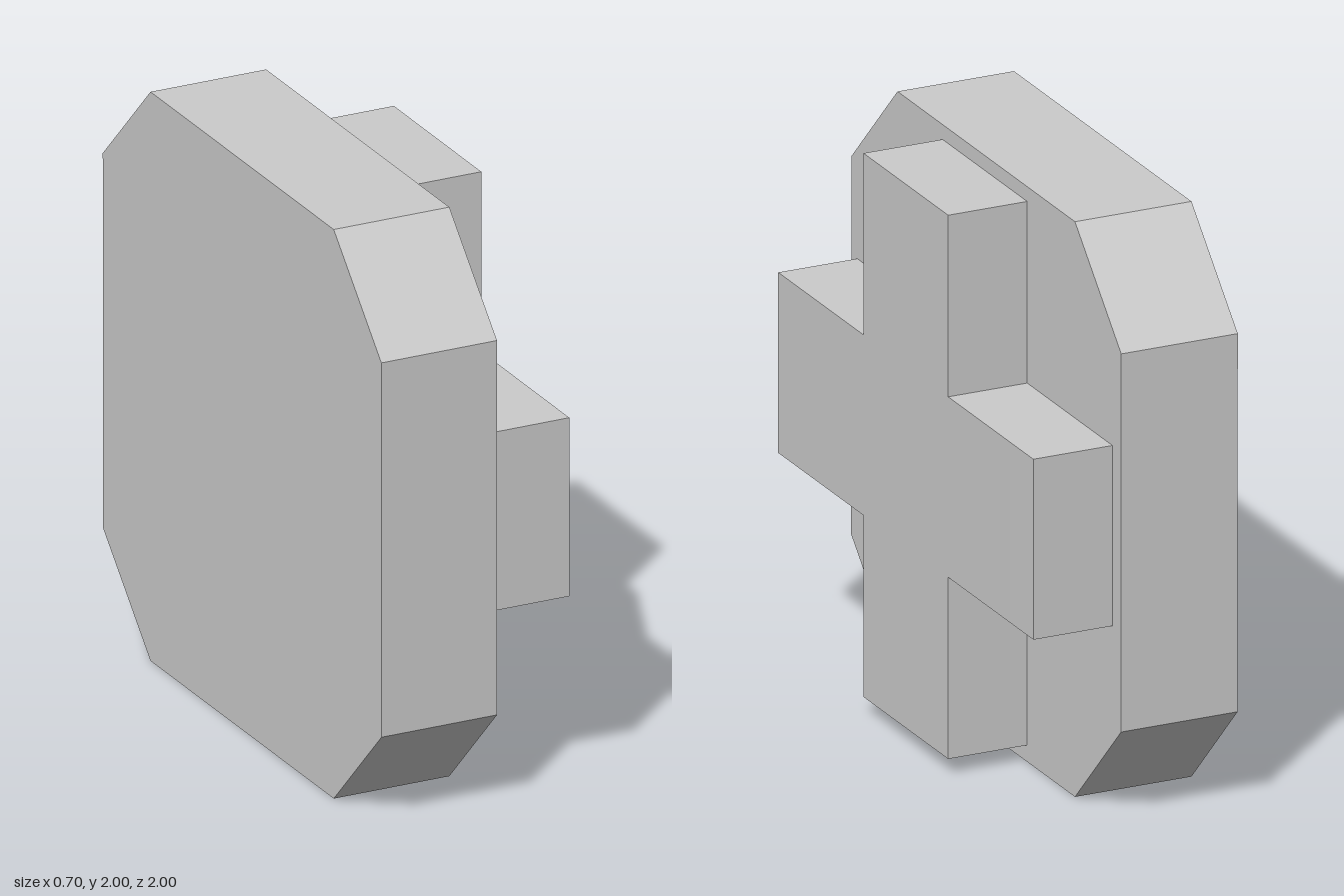
import * as THREE from 'three';

const material = new THREE.MeshStandardMaterial({ color: 0xcccccc, flatShading: true });

// Extrudes a (z, y) outline along x, from x0 to x1
function plate(name, outline, x0, x1) {
  const shape = new THREE.Shape(outline.map(([z, y]) => new THREE.Vector2(-z, y)));
  const geometry = new THREE.ExtrudeGeometry(shape, { depth: x1 - x0, bevelEnabled: false });
  geometry.rotateY(Math.PI / 2);
  geometry.translate(x0, 0, 0);
  const mesh = new THREE.Mesh(geometry, material);
  mesh.name = name;
  return mesh;
}

// Repeats one corner's points around the four quarter turns
function fourFold(corner, cz, cy) {
  const points = [];
  for (let i = 0; i < 4; i++) {
    const c = [1, 0, -1, 0][i], s = [0, 1, 0, -1][i];
    for (const [z, y] of corner) points.push([cz + c * z - s * y, cy + s * z + c * y]);
  }
  return points;
}

export function createModel() {
  const group = new THREE.Group();
  group.name = 'crossPlaque';

  // Square slab with chamfered corners
  group.add(plate('backSlab', fourFold([[0.997, 0.656], [0.656, 0.998]], 0, 1), -0.355, 0.065));

  // Raised cross on the slab's face
  group.add(plate('raisedCross',
    fourFold([[0.943, 0.313], [0.313, 0.313], [0.313, 0.943]], 0.01, 1.003), 0.065, 0.35));

  return group;
}
